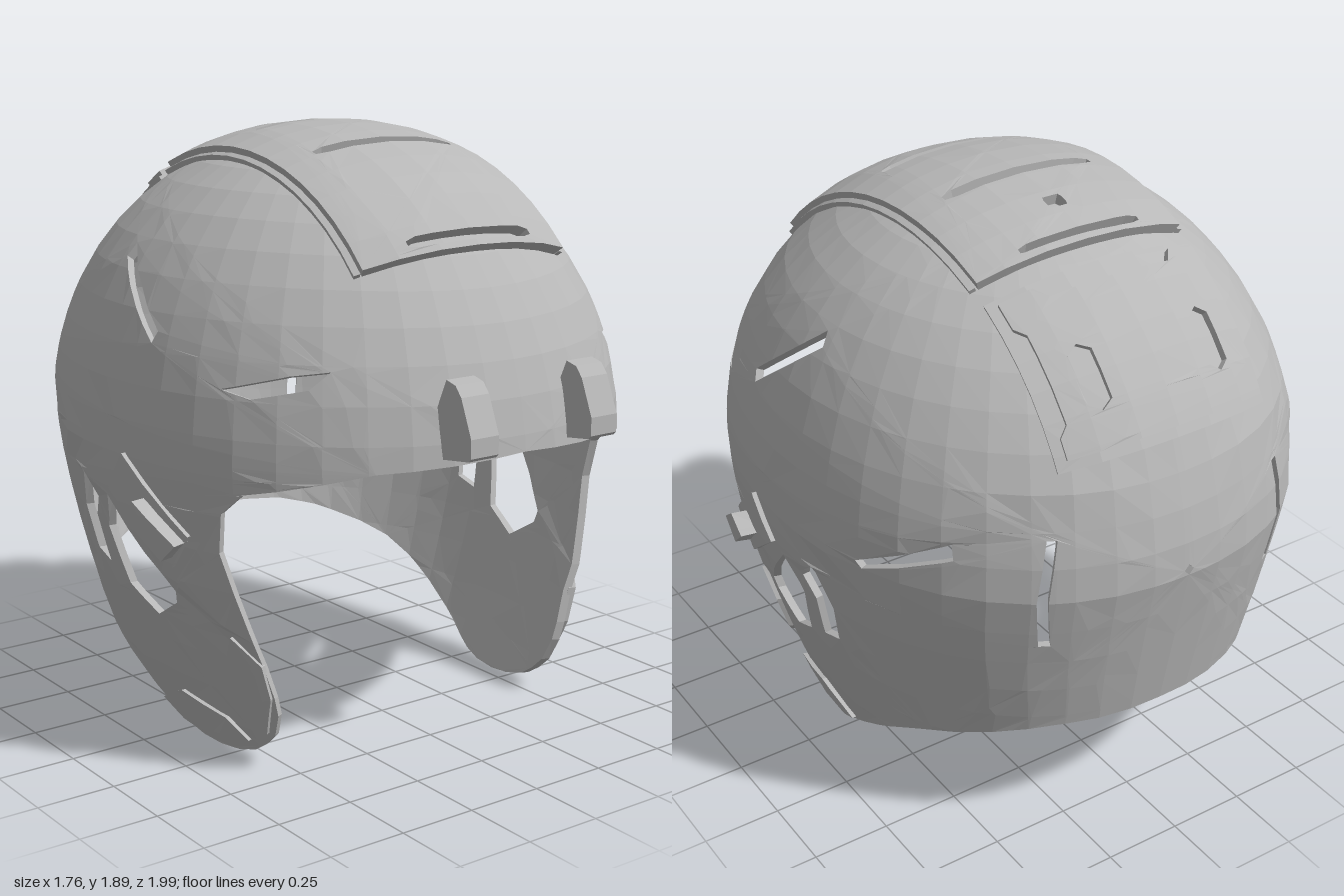
import * as THREE from 'three';

const Y0 = 0.95, ZC = -0.04, H = 0.91, W = 0.84, FRONT = 0.96, BACK = 0.965, P = 2.2;
const halfWidth = y => W - 0.27 * Math.pow(Math.max(0, Y0 - y), 1.5);
const backDepth = y => BACK - 0.2 * Math.max(0, Y0 - y);

// Remaining side of the slightly squared cross-section.
const across = r => Math.pow(Math.max(0, 1 - Math.pow(Math.abs(r), P)), 1 / P);

// Lower rear of the shell sits slightly inside the upper part, below a diagonal crease.
const recess = (z, y) => 0.012 * THREE.MathUtils.smoothstep(0.72 - 0.62 * z - y, 0, 0.05);

// Shell surface: u runs from front (0) to back (PI); v is latitude above Y0, height below it.
function shellPoint(u, v, d) {
  const k = v > 0 ? Math.cos(v) : 1, n = v > 0 ? Math.sin(v) : 0;
  const s = Math.sin(u) * k, c = Math.cos(u) * k;
  const t = Math.pow(Math.pow(Math.max(0, s), P) + Math.pow(Math.hypot(c, n), P), -1 / P);
  const y = v > 0 ? Y0 + H * n * t : Y0 + v;
  const depth = c > 0 ? FRONT : backDepth(y);
  d -= recess(ZC + depth * c * t, y);
  return new THREE.Vector3((halfWidth(y) + d) * s * t, y + d * n * t, ZC + (depth + d) * c * t);
}

// Side elevation (z, y) to shell parameters.
function fromSide([z, y]) {
  const c = (z - ZC) / (z > ZC ? FRONT : backDepth(y)), n = Math.max(0, (y - Y0) / H);
  const s = across(Math.hypot(c, n));
  return [Math.atan2(s, c), y > Y0 ? Math.asin(n / Math.hypot(s, c, n)) : y - Y0];
}

// Crown surface: u is x, v is the angle over the top from front to back, in degrees.
function crownPoint(u, v, d) {
  const t = v * Math.PI / 180, s = across(u / W), c = Math.cos(t);
  return new THREE.Vector3(u * (1 + d / W), Y0 + (H + d) * s * Math.sin(t),
    ZC + ((c > 0 ? FRONT : BACK) + d) * s * c);
}

// Split a convex polygon along the line p[axis] = at.
function split(poly, axis, at) {
  const low = [], high = [];
  poly.forEach((p, i) => {
    const q = poly[(i + 1) % poly.length], a = p[axis] - at, b = q[axis] - at;
    if (a < 1e-7) low.push(p);
    if (a > -1e-7) high.push(p);
    if ((a < -1e-7 && b > 1e-7) || (a > 1e-7 && b < -1e-7)) {
      const t = a / (a - b), m = [p[0] + (q[0] - p[0]) * t, p[1] + (q[1] - p[1]) * t];
      m[axis] = at;
      low.push(m);
      high.push(m);
    }
  });
  return [low, high].filter(s => s.length > 2);
}

// Curved plate with holes: faceted outer and inner skins, joined by edge walls.
function plate(outline, holes, point, { step, outer, inner, flip = false, open = () => false }) {
  const vec = list => list.map(p => new THREE.Vector2(...p));
  const all = [outline, ...holes].flat();
  let polys = THREE.ShapeUtils.triangulateShape(vec(outline), holes.map(vec)).map(f => {
    const [a, b, c] = f.map(i => all[i]);
    const area = (b[0] - a[0]) * (c[1] - a[1]) - (c[0] - a[0]) * (b[1] - a[1]);
    return area > 0 ? [a, b, c] : [a, c, b];
  });
  for (const axis of [0, 1]) {
    const values = outline.map(p => p[axis]), max = Math.max(...values);
    for (let i = Math.ceil(Math.min(...values) / step[axis]); i * step[axis] < max; i++)
      polys = polys.flatMap(p => split(p, axis, i * step[axis]));
  }
  const positions = [], edges = new Map();
  const tri = (a, b, c) => {
    if (b.clone().sub(a).cross(c.clone().sub(a)).length() < 1e-9) return;
    for (const p of flip ? [a, c, b] : [a, b, c]) positions.push(flip ? -p.x : p.x, p.y, p.z);
  };
  const key = p => p.map(n => Math.round(n * 1e5)).join(',');
  for (const poly of polys) {
    const out = poly.map(p => point(...p, outer)), inn = poly.map(p => point(...p, inner));
    for (let i = 1; i < poly.length - 1; i++) {
      tri(out[0], out[i], out[i + 1]);
      tri(inn[0], inn[i + 1], inn[i]);
    }
    poly.forEach((p, i) => {
      const j = (i + 1) % poly.length, ka = key(p), kb = key(poly[j]);
      if (ka === kb) return;
      if (!edges.delete(kb + '|' + ka))
        edges.set(ka + '|' + kb, [p, poly[j], out[i], out[j], inn[i], inn[j]]);
    });
  }
  for (const [p, q, ao, bo, ai, bi] of edges.values()) {
    if (open(p) && open(q)) continue;
    tri(bo, ao, ai);
    tri(bo, ai, bi);
  }
  const geometry = new THREE.BufferGeometry();
  geometry.setAttribute('position', new THREE.Float32BufferAttribute(positions, 3));
  geometry.computeVertexNormals();
  return geometry;
}

const box = (x0, x1, v0, v1) => [[x0, v0], [x1, v0], [x1, v1], [x0, v1]];
const slot = (x, w, v, h) => [[x - w, v - h / 2], [x - w * 0.85, v - h], [x + w * 0.85, v - h],
  [x + w, v - h / 2], [x + w, v + h / 2], [x + w * 0.85, v + h], [x - w * 0.85, v + h], [x - w, v + h / 2]];

export function createModel() {
  const group = new THREE.Group();
  const grey = new THREE.MeshStandardMaterial({ color: 0xb8b8b8, side: THREE.DoubleSide });
  grey.name = 'shell grey';
  const add = (name, geometry) => {
    const mesh = new THREE.Mesh(geometry, grey);
    mesh.name = name;
    group.add(mesh);
    return mesh;
  };

  // Half shell outline: brim, face edge, ear lobe, nape, then up the back seam with a small hole.
  const rim = [[0.8, 0.985], [0.52, 0.905], [0.45, 0.84], [0.425, 0.715], [0.475, 0.435], [0.49, 0.25],
    [0.485, 0.19], [0.45, 0.115], [0.4, 0.07], [0.345, 0.035], [0.26, 0.01], [0.17, 0], [0.08, 0.005],
    [0.01, 0.025], [-0.1, 0.09], [-0.39, 0.26], [-0.5, 0.315], [-0.61, 0.355], [-0.75, 0.405], [-0.83, 0.43]];
  const outline = [[0, Math.asin(0.06 / H)], ...rim.map(fromSide),
    [Math.PI, 0.44 - Y0], [Math.PI, 0], [Math.PI - 0.02, 0.02], [Math.PI, 0.04],
    [Math.PI, Math.PI / 2], [0, Math.PI / 2]];

  // Ear openings and vent slits.
  const vents = [
    [[0.2, 0.54], [-0.055, 0.8], [-0.115, 0.68], [-0.065, 0.5], [0.07, 0.43], [0.19, 0.5]],
    [[-0.145, 0.77], [-0.19, 0.83], [-0.225, 0.85], [-0.28, 0.71], [-0.255, 0.57], [-0.17, 0.545], [-0.19, 0.7]],
    [[0.165, 1.33], [-0.115, 1.55], [-0.13, 1.51], [0.15, 1.295]],
    [[0.68, 1.265], [0.6, 1.25], [0.43, 1.2], [0.52, 1.18], [0.65, 1.215]],
    [[-0.435, 0.98], [-0.705, 1.12], [-0.715, 1.07], [-0.45, 0.95]],
    [[-0.877, 1.15], [-0.892, 1.15], [-0.9, 0.95], [-0.878, 0.78], [-0.86, 0.78], [-0.882, 0.95]],
  ].map(h => h.map(fromSide));
  const seam = ([u, v]) => u < 1e-6 || u > Math.PI - 1e-6 || v > Math.PI / 2 - 1e-6;

  // Raised pieces on each side: strap plate, strap clip and lobe guards.
  const sidePieces = [
    ['strapPlate', 0.014, [[0.33, 0.75], [0.08, 0.96], [-0.015, 0.83], [0.24, 0.635]]],
    ['strapClip', 0.062, [[0.315, 0.73], [0.17, 0.84], [0.115, 0.785], [0.25, 0.67]]],
    ['lobeFrontGuard', 0.014, [[0.483, 0.36], [0.4, 0.44], [0.345, 0.33], [0.35, 0.2], [0.43, 0.12], [0.483, 0.25]]],
    ['lobeLowerGuard', 0.014, [[0.34, 0.07], [0.27, 0.13], [0.07, 0.165], [-0.08, 0.09], [0.01, 0.04], [0.17, 0.015]]],
  ];

  // Visor clip profile in (z, y).
  const clip = new THREE.Shape([[0.88, 1.02], [0.99, 1.035], [1, 1.045], [1, 1.1], [0.955, 1.21], [0.93, 1.24],
    [0.89, 1.25], [0.85, 1.16]].map(p => new THREE.Vector2(...p)));

  for (const side of [1, -1]) {
    const tag = side > 0 ? 'left' : 'right', flip = side < 0;
    add(tag + 'Shell', plate(outline, vents, shellPoint,
      { step: [Math.PI / 22, 0.12], outer: 0, inner: -0.025, flip, open: seam }));
    for (const [name, height, points] of sidePieces)
      add(tag + name[0].toUpperCase() + name.slice(1), plate(points.map(fromSide), [], shellPoint,
        { step: [0.15, 0.15], outer: height, inner: -0.01, flip }));
    const clipGeometry = new THREE.ExtrudeGeometry(clip, { depth: 0.1, bevelEnabled: false });
    clipGeometry.rotateY(-Math.PI / 2);
    add(tag + 'VisorClip', clipGeometry).position.x = side * 0.225 + 0.05;

    // Rails beside the crown panel.
    const rail = [[0.37, 42], [0.388, 42], [0.37, 115], [0.352, 115]];
    add(tag + 'CrownRail', plate(rail, [], crownPoint, { step: [0.1, 6], outer: 0.016, inner: -0.01, flip }));
  }

  // Crown panel with grooves, front and rear slots and a small hole.
  const crown = [[-0.365, 42], [0.365, 42], [0.345, 115], [-0.345, 115]];
  add('crownPanel', plate(crown, [slot(0, 0.22, 44.5, 1.2), slot(0, 0.25, 73, 1.2), slot(0, 0.25, 94, 1.2),
    slot(0, 0.03, 105, 1.5), slot(0, 0.2, 113, 0.9)], crownPoint, { step: [0.13, 6], outer: 0.034, inner: -0.01 }));

  // Rear panel: base frame and vented cover.
  add('rearFrame', plate(box(-0.36, 0.36, 119, 153), [], crownPoint,
    { step: [0.12, 6], outer: 0.014, inner: -0.01 }));
  const cover = [[-0.33, 120.5], [-0.23, 120.5], [-0.2, 123], [0.2, 123], [0.23, 120.5], [0.33, 120.5],
    [0.33, 126], [0.305, 128], [0.305, 145], [0.33, 147], [0.33, 151], [-0.33, 151],
    [-0.33, 147], [-0.305, 145], [-0.305, 128], [-0.33, 126]];
  const slits = [-0.2, 0.2].map(x => [[x - 0.035, 134], [x, 132.5], [x + 0.035, 134],
    [x + 0.035, 143], [x, 144.5], [x - 0.035, 143]]);
  add('rearCover', plate(cover, slits, crownPoint, { step: [0.12, 6], outer: 0.032, inner: 0 }));

  return group;
}
